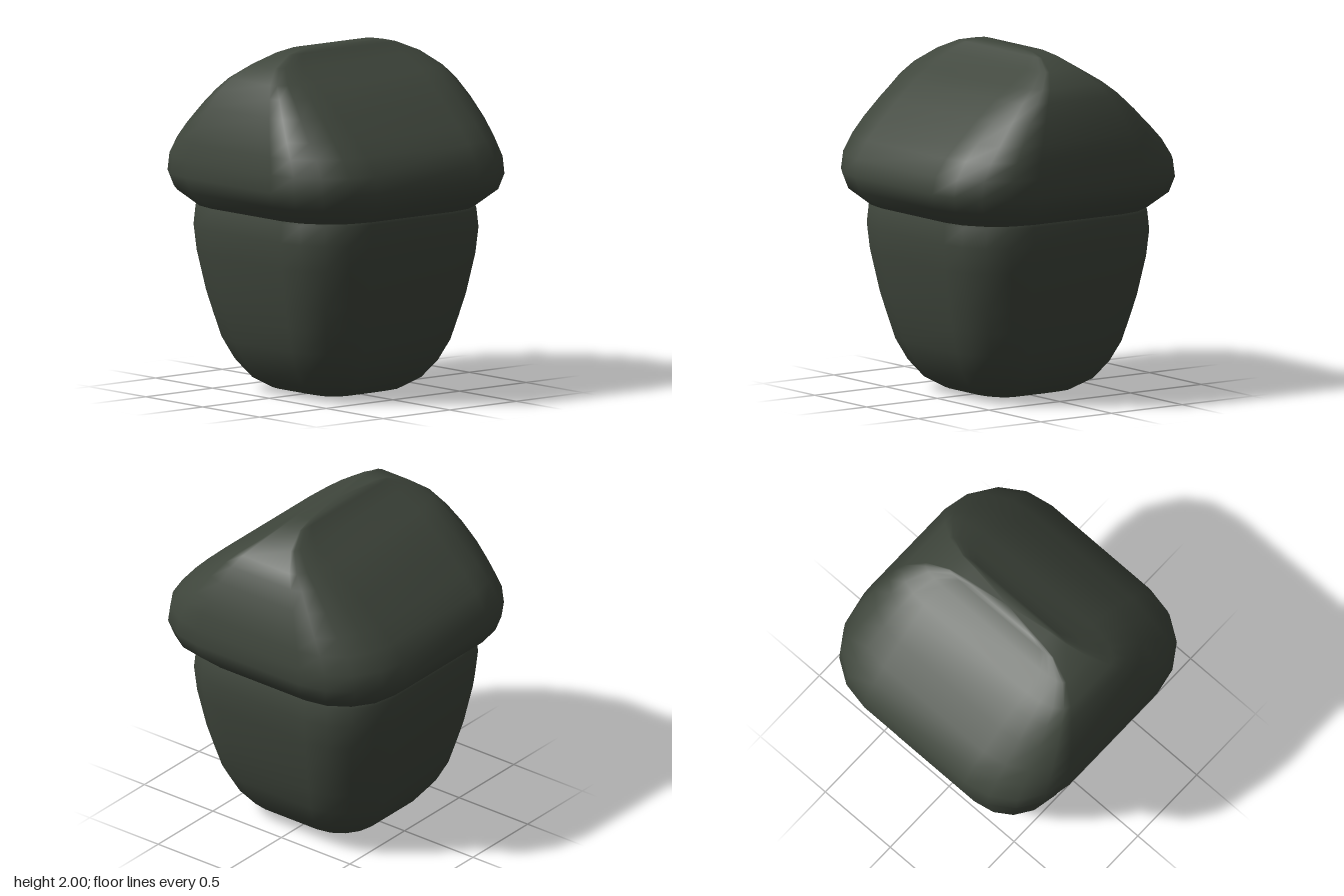
import * as THREE from 'three';

// One rounded-rectangle ring: half sizes hx, hz; k is the straight share of each side
function ring(hx, hz, k) {
  const points = [];
  for (let q = 0; q < 4; q++) {
    for (let i = 0; i < 5; i++) {
      const a = (i * Math.PI) / 8;
      const u = k + (1 - k) * Math.cos(a);
      const v = k + (1 - k) * Math.sin(a);
      const [x, z] = [[u, v], [-v, u], [-u, -v], [v, -u]][q];
      points.push([x * hx, z * hz]);
    }
  }
  return points;
}

// Closed smooth loft through rings given as [y, hx, hz, k], bottom to top
function loft(sections) {
  const n = 20;
  const positions = [];
  const index = [];
  for (const [y, hx, hz, k] of sections) {
    for (const [x, z] of ring(hx, hz, k)) positions.push(x, y, z);
  }
  const last = (sections.length - 1) * n;
  const bottom = sections.length * n;
  positions.push(0, sections[0][0], 0, 0, sections[sections.length - 1][0], 0);
  for (let j = 0; j < n; j++) {
    const next = (j + 1) % n;
    for (let r = 0; r < last; r += n) {
      const a = r + j, b = r + next, c = a + n, d = b + n;
      index.push(a, c, b, b, c, d);
    }
    index.push(bottom, j, next, bottom + 1, last + next, last + j);
  }
  const geometry = new THREE.BufferGeometry();
  geometry.setAttribute('position', new THREE.Float32BufferAttribute(positions, 3));
  geometry.setIndex(index);
  geometry.computeVertexNormals();
  return geometry;
}

export function createModel() {
  const group = new THREE.Group();
  group.name = 'acorn';
  const darkGreen = new THREE.MeshStandardMaterial({ color: 0x3f463c });
  darkGreen.name = 'darkGreen';

  // Nut body: square tapered cup
  const bodyProfile = [
    [0, 0.22], [0.02, 0.31], [0.08, 0.41], [0.18, 0.49], [0.3, 0.55], [0.44, 0.59],
    [0.57, 0.625], [0.8, 0.67], [0.95, 0.685], [1.06, 0.675], [1.14, 0.65],
  ];
  const body = new THREE.Mesh(loft(bodyProfile.map(([y, h]) => [y, h, h, 0.46])), darkGreen);
  body.name = 'nutBody';

  // Cap: overhanging rim that narrows front to back into a ridge
  const cap = new THREE.Mesh(loft([
    [1.055, 0.6, 0.6, 0.46],
    [1.075, 0.67, 0.67, 0.46],
    [1.17, 0.78, 0.78, 0.46],
    [1.26, 0.81, 0.81, 0.46],
    [1.36, 0.805, 0.79, 0.47],
    [1.46, 0.79, 0.72, 0.48],
    [1.55, 0.77, 0.63, 0.5],
    [1.67, 0.73, 0.5, 0.53],
    [1.77, 0.685, 0.38, 0.57],
    [1.84, 0.64, 0.275, 0.62],
    [1.92, 0.54, 0.145, 0.7],
    [1.98, 0.4, 0.07, 0.78],
    [2, 0.29, 0.05, 0.8],
  ]), darkGreen);
  cap.name = 'cap';

  group.add(body, cap);
  return group;
}
